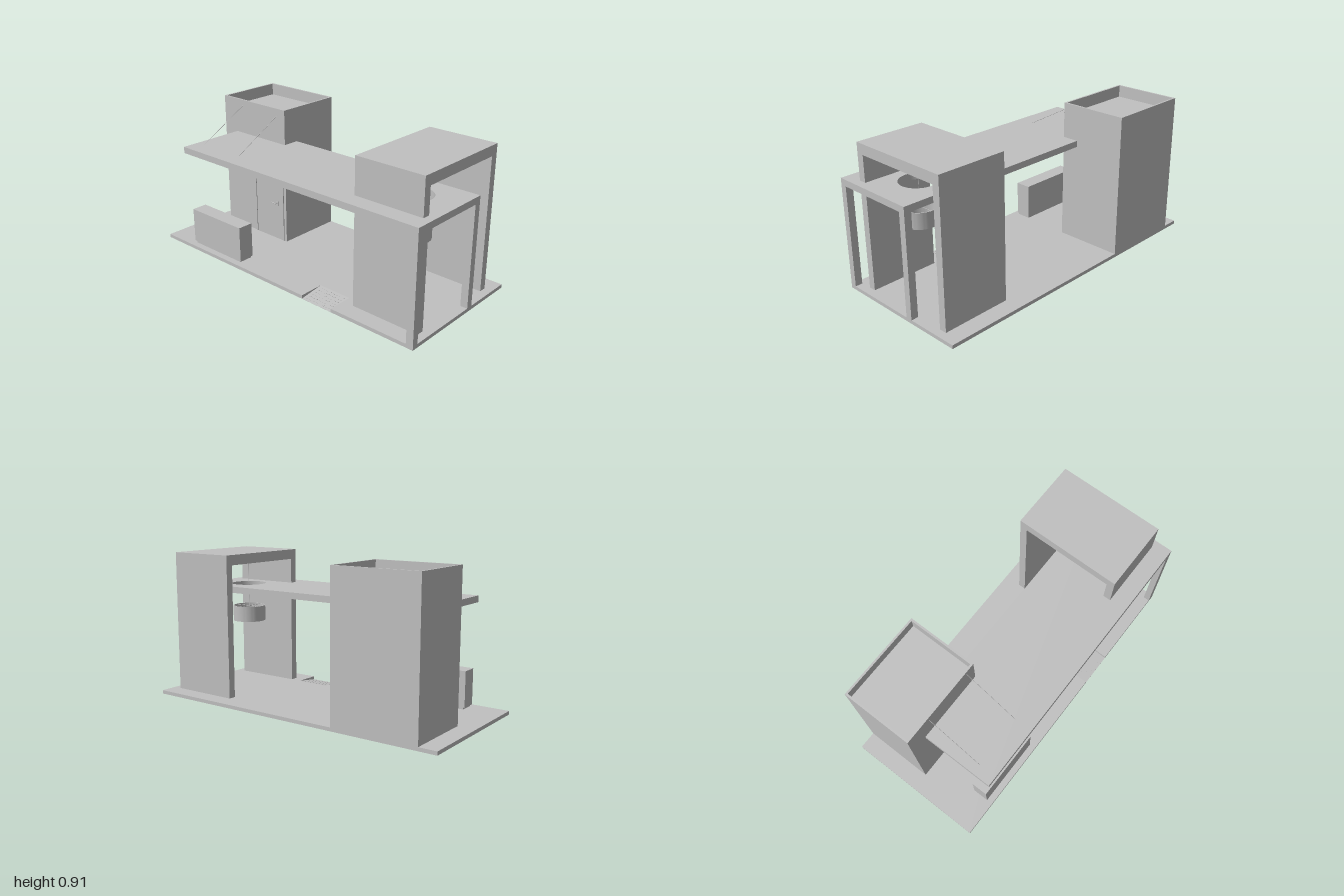
import * as THREE from 'three';
import { toCreasedNormals } from 'three/addons/utils/BufferGeometryUtils.js';

const grey = new THREE.MeshStandardMaterial({ color: 0xc0c0c0 });
grey.name = 'light grey';

export function createModel() {
  const model = new THREE.Group();
  model.name = 'exhibitionStand';

  function add(name, geometry) {
    const mesh = new THREE.Mesh(geometry, grey);
    mesh.name = name;
    model.add(mesh);
    return mesh;
  }
  // Box given by its lower and upper limits on each axis
  function box(name, x0, x1, y0, y1, z0, z1) {
    const mesh = add(name, new THREE.BoxGeometry(x1 - x0, y1 - y0, z1 - z0));
    mesh.position.set((x0 + x1) / 2, (y0 + y1) / 2, (z0 + z1) / 2);
    return mesh;
  }
  // Plan outline from [x, z] points
  const plan = (points) => new THREE.Shape(points.map(([x, z]) => new THREE.Vector2(x, -z)));
  const rect = (x0, x1, z0, z1) => plan([[x0, z1], [x1, z1], [x1, z0], [x0, z0]]);
  function slab(name, shape, y0, y1) {
    const geometry = new THREE.ExtrudeGeometry(shape, { depth: y1 - y0, bevelEnabled: false, curveSegments: 32 });
    geometry.rotateX(-Math.PI / 2);
    geometry.translate(0, y0, 0);
    return add(name, toCreasedNormals(geometry, 0.5));
  }
  // Thin round bar between two points
  function rod(name, a, b, radius) {
    const from = new THREE.Vector3(...a), to = new THREE.Vector3(...b);
    const mesh = add(name, new THREE.CylinderGeometry(radius, radius, from.distanceTo(to), 8));
    mesh.position.copy(from).lerp(to, 0.5);
    mesh.quaternion.setFromUnitVectors(new THREE.Vector3(0, 1, 0), to.clone().sub(from).normalize());
    return mesh;
  }

  const floorY = 0.022;

  // Floor with a notch for the entrance ramp
  slab('floor', plan([[-1, 0.44], [0.22, 0.44], [0.22, 0.28], [0.44, 0.28], [0.44, 0.44],
    [1, 0.44], [1, -0.44], [-1, -0.44]]), 0, floorY);

  // Sloping ramp and its grip studs
  const wedge = new THREE.Shape([new THREE.Vector2(-0.44, 0), new THREE.Vector2(-0.28, 0),
    new THREE.Vector2(-0.28, floorY), new THREE.Vector2(-0.44, 0.001)]);
  const ramp = add('ramp', new THREE.ExtrudeGeometry(wedge, { depth: 0.22, bevelEnabled: false }));
  ramp.rotation.y = Math.PI / 2;
  ramp.position.x = 0.22;
  const slope = Math.atan2(0.021, 0.16);
  for (let row = 0; row < 6; row++) {
    for (let col = 0; col < 8; col++) {
      const z = 0.3 + row * 0.024;
      const stud = add('rampStud', new THREE.BoxGeometry(0.014, 0.003, 0.005));
      stud.position.set(0.246 + col * 0.024, 0.001 + (0.44 - z) * 0.131, z);
      stud.rotation.x = slope;
    }
  }

  // Storage tower with a sunken roof
  box('tower', -0.89, -0.34, floorY, 0.835, -0.44, -0.003);
  const rim = rect(-0.89, -0.34, -0.44, -0.003);
  rim.holes.push(rect(-0.878, -0.352, -0.428, -0.015));
  slab('towerRim', rim, 0.835, 0.91);

  // Door, frame and lever handle
  box('doorFrameSide', -0.622, -0.61, floorY, 0.52, -0.01, 0.003);
  box('doorFrameSide', -0.372, -0.36, floorY, 0.52, -0.01, 0.003);
  box('doorFrameTop', -0.622, -0.36, 0.508, 0.52, -0.01, 0.003);
  box('door', -0.608, -0.374, floorY, 0.506, -0.01, 0.0);
  box('handlePlate', -0.422, -0.408, 0.258, 0.288, 0, 0.003);
  rod('handleStem', [-0.415, 0.277, 0], [-0.415, 0.277, 0.02], 0.003);
  rod('handleLever', [-0.412, 0.277, 0.019], [-0.455, 0.277, 0.019], 0.003);

  // Reception counter on a recessed plinth
  box('counterPlinth', -0.768, -0.348, floorY, 0.035, 0.307, 0.398);
  box('counter', -0.78, -0.34, 0.035, 0.256, 0.302, 0.402);

  // Tall arch, open at both ends
  box('archFrontWall', 0.51, 0.95, floorY, 0.847, 0.285, 0.332);
  box('archBackWall', 0.51, 0.95, floorY, 0.847, -0.332, -0.285);
  box('archRoof', 0.51, 0.95, 0.847, 0.91, -0.332, 0.332);

  // Long canopy with a round opening, carried by two posts
  const lampX = 0.73, lampZ = 0.108;
  const canopy = rect(-0.78, 1, -0.11, 0.44);
  canopy.holes.push(new THREE.Path().absarc(lampX, -lampZ, 0.112, 0, Math.PI * 2, true));
  slab('canopy', canopy, 0.648, 0.688);
  box('canopyFrontPost', 0.955, 1, floorY, 0.648, 0.4, 0.44);
  box('canopyBackPost', 0.955, 1, floorY, 0.648, -0.11, -0.068);

  // Cables from the tower to the canopy
  for (const x of [-0.72, -0.4]) rod('cable', [x, 0.872, -0.005], [x, 0.686, 0.33], 0.0015);

  // Hanging drum lamp
  const drum = new THREE.Shape().absarc(lampX, -lampZ, 0.106, 0, Math.PI * 2);
  drum.holes.push(new THREE.Path().absarc(lampX, -lampZ, 0.101, 0, Math.PI * 2, true));
  slab('lampShade', drum, 0.44, 0.54);
  rod('lampCord', [lampX, 0.535, lampZ], [lampX, 0.847, lampZ], 0.0015);
  rod('lampSpoke', [lampX - 0.103, 0.535, lampZ], [lampX + 0.103, 0.535, lampZ], 0.0015);
  rod('lampSpoke', [lampX, 0.535, lampZ - 0.103], [lampX, 0.535, lampZ + 0.103], 0.0015);
  const rose = add('ceilingRose', new THREE.CylinderGeometry(0.025, 0.025, 0.004, 24));
  rose.position.set(lampX, 0.845, lampZ);

  return model;
}
